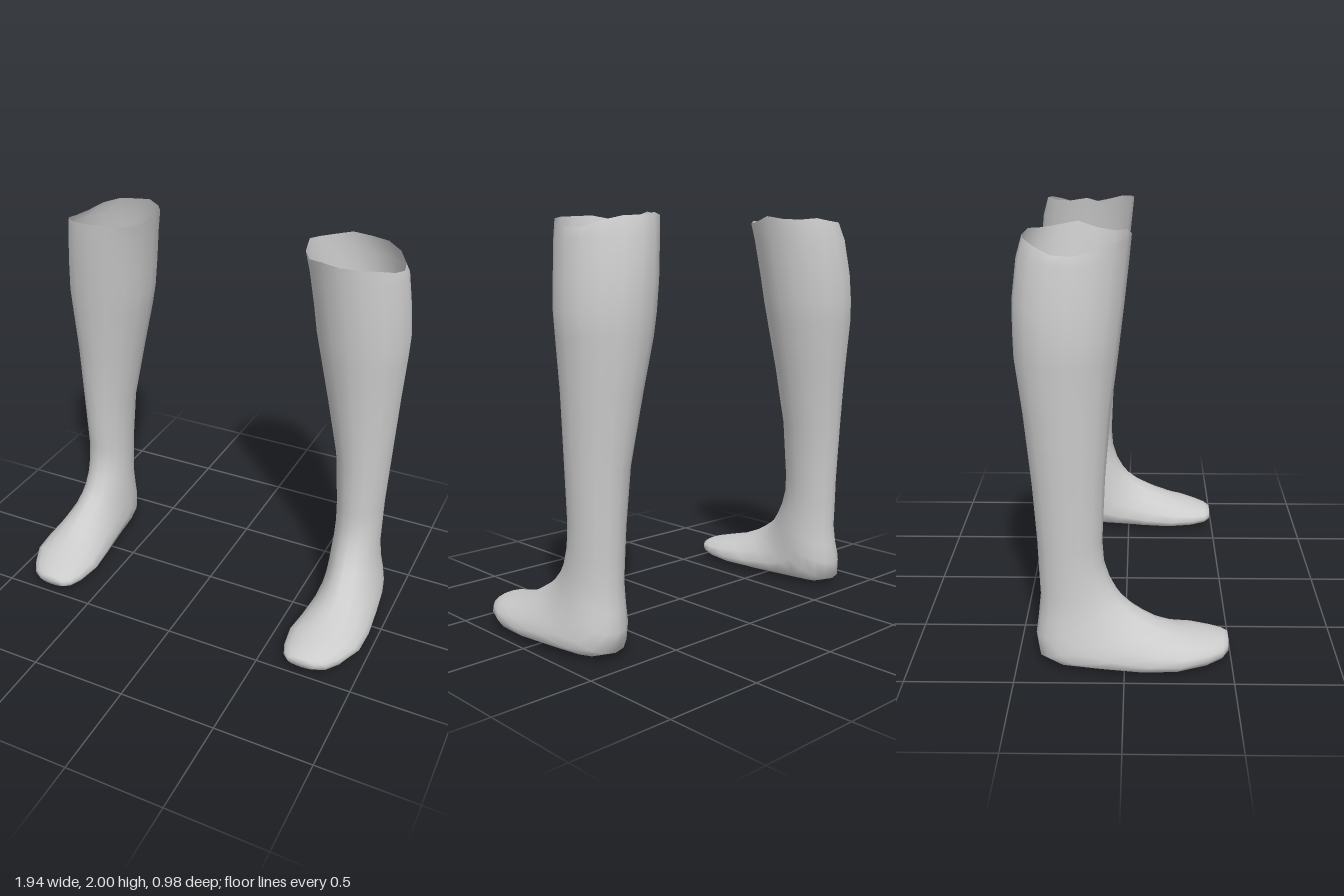
import * as THREE from 'three';

const SIDES = 16;

// Cross-sections from cuff to toe:
// [front z, front y, back z, back y, inner x, outer x, widest point (0 = back/sole, 1 = front/instep)]
const RINGS = [
  [0.03, 2.0, -0.44, 2.0, 0.41, 0.875, 0.48],
  [0.02, 1.88, -0.467, 1.88, 0.43, 0.89, 0.5],
  [0.0, 1.7, -0.488, 1.7, 0.455, 0.912, 0.5],
  [-0.017, 1.56, -0.488, 1.56, 0.472, 0.925, 0.5],
  [-0.03, 1.45, -0.485, 1.45, 0.494, 0.92, 0.5],
  [-0.063, 1.2, -0.452, 1.2, 0.547, 0.906, 0.5],
  [-0.088, 0.9, -0.418, 0.87, 0.612, 0.892, 0.5],
  [-0.102, 0.6, -0.4, 0.6, 0.635, 0.88, 0.5],
  [-0.095, 0.5, -0.395, 0.45, 0.64, 0.88, 0.5],
  [-0.07, 0.42, -0.39, 0.33, 0.64, 0.882, 0.5],
  [-0.035, 0.355, -0.402, 0.22, 0.635, 0.893, 0.48],
  [0.0, 0.312, -0.414, 0.13, 0.632, 0.908, 0.45],
  [0.05, 0.272, -0.4, 0.04, 0.63, 0.925, 0.42],
  [0.1, 0.24, -0.32, 0.01, 0.63, 0.94, 0.4],
  [0.16, 0.205, -0.15, 0.008, 0.625, 0.955, 0.36],
  [0.25, 0.167, 0.05, 0.005, 0.605, 0.968, 0.36],
  [0.33, 0.146, 0.22, 0.008, 0.587, 0.962, 0.38],
  [0.41, 0.125, 0.37, 0.015, 0.605, 0.91, 0.42],
  [0.46, 0.112, 0.452, 0.028, 0.63, 0.86, 0.45],
  [0.487, 0.1, 0.485, 0.045, 0.66, 0.81, 0.5],
];

// Uneven rim height, from the front round by the outer side, back and inner side
const RIM = [1.98, 1.975, 1.965, 1.94, 1.92, 1.922, 1.95, 1.97,
  1.975, 1.988, 1.98, 1.985, 2.0, 1.972, 1.968, 1.985];

function sockGeometry(side) {
  const positions = [];
  const index = [];
  RINGS.forEach(([fz, fy, bz, by, inner, outer, widest], r) => {
    const footness = THREE.MathUtils.clamp((r - 10) / 4, 0, 1);
    for (let i = 0; i < SIDES; i++) {
      const a = (i / SIDES) * Math.PI * 2;
      const c = Math.cos(a);
      // The sole half is flatter than the instep half
      const bulge = c < 0 ? Math.pow(-c, 1 - 0.35 * footness) : c;
      const t = c < 0 ? widest * (1 - bulge) : widest + (1 - widest) * bulge;
      const x = (inner + outer) / 2 + Math.sin(a) * (outer - inner) / 2;
      const y = r === 0 ? RIM[i] : by + (fy - by) * t;
      positions.push(side * x, y, bz + (fz - bz) * t);
    }
  });
  const face = (a, b, c) => (side > 0 ? index.push(a, b, c) : index.push(a, c, b));
  for (let r = 0; r < RINGS.length - 1; r++) {
    for (let i = 0; i < SIDES; i++) {
      const j = (i + 1) % SIDES;
      const a = r * SIDES + i, b = r * SIDES + j;
      face(a, a + SIDES, b);
      face(b, a + SIDES, b + SIDES);
    }
  }
  // Toe tip
  const last = (RINGS.length - 1) * SIDES;
  positions.push(side * 0.735, 0.072, 0.49);
  for (let i = 0; i < SIDES; i++) {
    face(last + i, last + SIDES, last + (i + 1) % SIDES);
  }
  const geometry = new THREE.BufferGeometry();
  geometry.setAttribute('position', new THREE.Float32BufferAttribute(positions, 3));
  geometry.setIndex(index);
  geometry.computeVertexNormals();
  return geometry;
}

export function createModel() {
  const fabric = new THREE.MeshStandardMaterial({ color: 0xcccccc, side: THREE.DoubleSide });
  fabric.name = 'grey fabric';
  const group = new THREE.Group();
  group.name = 'socks';
  // Mirrored pair, open at the cuff
  for (const [name, side] of [['leftSock', 1], ['rightSock', -1]]) {
    const sock = new THREE.Mesh(sockGeometry(side), fabric);
    sock.name = name;
    group.add(sock);
  }
  return group;
}
